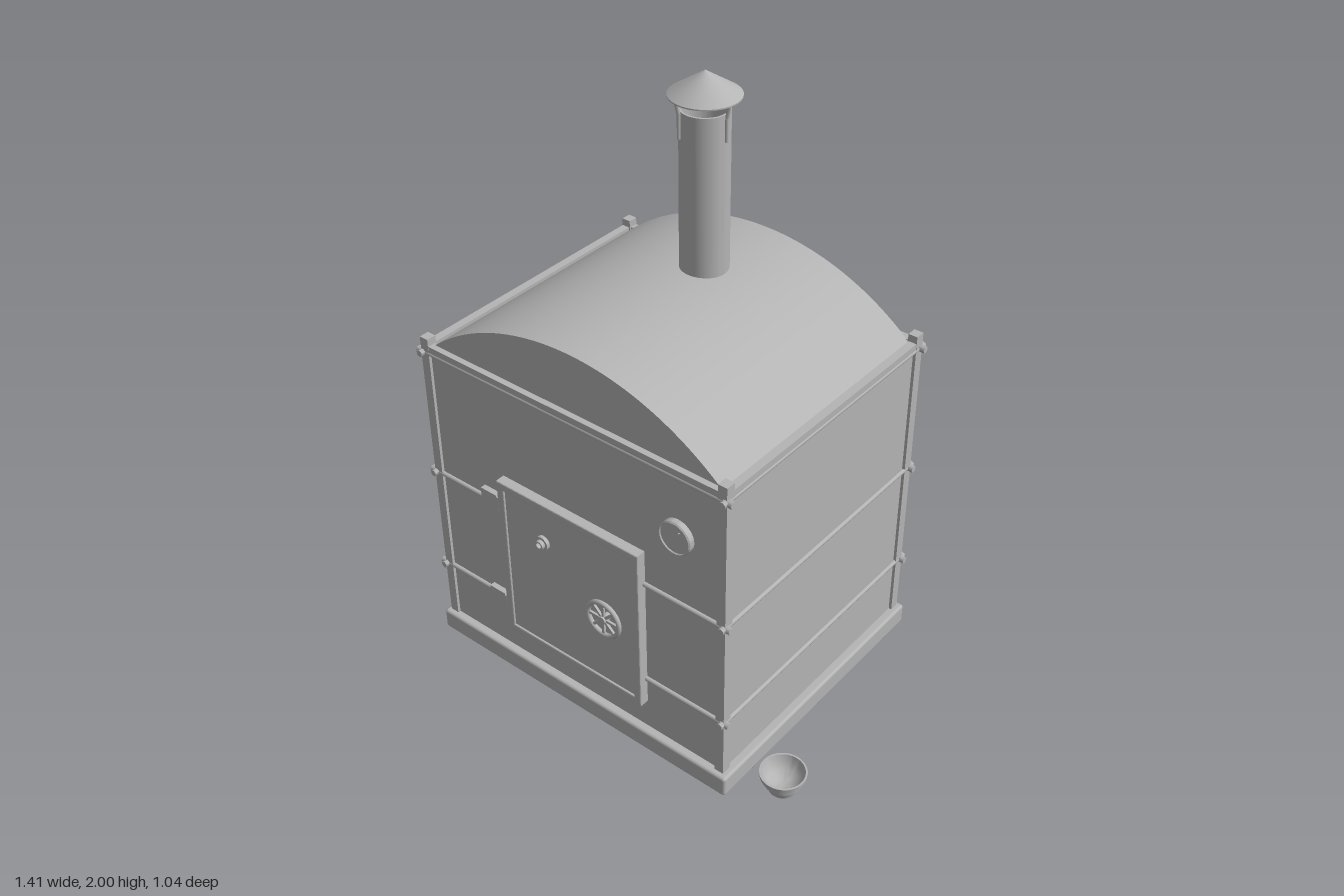
import * as THREE from 'three';
import { toCreasedNormals } from 'three/addons/utils/BufferGeometryUtils.js';
import { RoundedBoxGeometry } from 'three/addons/geometries/RoundedBoxGeometry.js';

export function createModel() {
  const model = new THREE.Group();
  model.name = 'oven';
  const steel = new THREE.MeshStandardMaterial({ color: 0xb4b4b4, side: THREE.DoubleSide });
  steel.name = 'grey steel';

  const add = (name, geometry, x = 0, y = 0, z = 0, parent = model) => {
    const mesh = new THREE.Mesh(geometry, steel);
    mesh.name = name;
    mesh.position.set(x, y, z);
    parent.add(mesh);
    return mesh;
  };
  // box given by its limits on each axis
  const box = (name, x0, x1, y0, y1, z0, z1) => add(name,
    new THREE.BoxGeometry(x1 - x0, y1 - y0, z1 - z0), (x0 + x1) / 2, (y0 + y1) / 2, (z0 + z1) / 2);
  // rod between two points
  const rod = (name, a, b, r, sides = 12) => {
    const p = new THREE.Vector3(...a), q = new THREE.Vector3(...b);
    const mesh = add(name, new THREE.CylinderGeometry(r, r, p.distanceTo(q), sides));
    mesh.position.copy(p).add(q).multiplyScalar(0.5);
    mesh.quaternion.setFromUnitVectors(new THREE.Vector3(0, 1, 0), q.sub(p).normalize());
    return mesh;
  };
  const lathe = (points, segments = 48) => toCreasedNormals(
    new THREE.LatheGeometry(points.map(p => new THREE.Vector2(...p)), segments), 0.5);

  const cx = -0.1, cz = -0.016;

  // plinth and walls
  add('base', new RoundedBoxGeometry(1.215, 0.075, 1.007, 3, 0.01), cx + 0.003, 0.0375, -0.013);
  box('walls', -0.68, 0.48, 0.07, 1.15, -0.493, 0.461);

  // corner posts
  for (const sx of [-1, 1]) for (const sz of [-1, 1]) {
    const x = cx + sx * 0.574, z = cz + sz * 0.47;
    box('cornerPost', x - 0.016, x + 0.016, 0.07, 1.19, z - 0.017, z + 0.017);
  }

  // top rails
  for (const s of [-1, 1]) {
    const x = cx + s * 0.575, z = cz + s * 0.472;
    box('sideRail', x - 0.014, x + 0.014, 1.14, 1.165, -0.485, 0.455);
    box('endRail', -0.67, 0.47, 1.14, 1.165, z - 0.014, z + 0.014);
  }

  // tie rods around the body, with a nut at each end
  for (const y of [1.137, 0.675, 0.287]) for (const s of [-1, 1]) {
    const x = cx + s * 0.584, z = cz + s * 0.481;
    rod('crossTieRod', [-0.69, y, z], [0.49, y, z], 0.008);
    rod('sideTieRod', [x, y, -0.5], [x, y, 0.47], 0.008);
    for (const e of [-1, 1]) {
      const nx = cx + e * 0.592, nz = cz + e * 0.487;
      rod('tieNut', [nx - 0.015, y, z], [nx + 0.015, y, z], 0.012, 6);
      rod('tieNut', [x, y, nz - 0.015], [x, y, nz + 0.015], 0.012, 6);
    }
  }

  // vaulted roof
  const half = 0.565, rise = 0.215, R = (half * half + rise * rise) / (2 * rise);
  const a = Math.asin(half / R);
  const vault = new THREE.Shape();
  vault.absarc(0, rise - R, R, Math.PI / 2 - a, Math.PI / 2 + a, false);
  vault.closePath();
  add('roof', toCreasedNormals(new THREE.ExtrudeGeometry(vault,
    { depth: 0.926, bevelEnabled: false, curveSegments: 48 }), 0.5), cx, 1.15, -0.476);

  // chimney pipe, open at the top
  const px = -0.098, pz = -0.17;
  add('chimney', lathe([[0.077, 1.28], [0.077, 1.885], [0.07, 1.885], [0.07, 1.28]]), px, 0, pz);
  // rain cap on three stays
  add('chimneyCap', lathe([[0, 1.924], [0.11, 1.924], [0.11, 1.928], [0, 2]]), px, 0, pz);
  for (let i = 0; i < 3; i++) {
    const t = i * Math.PI * 2 / 3, c = Math.cos(t), s = Math.sin(t);
    rod('capStay', [px + 0.08 * c, 1.8, pz + 0.08 * s], [px + 0.08 * c, 1.88, pz + 0.08 * s], 0.006, 8);
    rod('capStay', [px + 0.08 * c, 1.875, pz + 0.08 * s], [px + 0.092 * c, 1.932, pz + 0.092 * s], 0.006, 8);
  }

  // door with raised frame
  const rect = (path, x0, x1, y0, y1) => {
    path.moveTo(x0, y0); path.lineTo(x1, y0); path.lineTo(x1, y1); path.lineTo(x0, y1); path.closePath();
    return path;
  };
  const frame = rect(new THREE.Shape(), -0.38, 0.18, 0.19, 0.795);
  frame.holes.push(rect(new THREE.Path(), -0.36, 0.16, 0.21, 0.775));
  add('doorFrame', new THREE.ExtrudeGeometry(frame,
    { depth: 0.03, bevelEnabled: true, bevelSize: 0.004, bevelThickness: 0.004, bevelSegments: 2 }), 0, 0, 0.461);
  box('doorPanel', -0.36, 0.16, 0.21, 0.775, 0.46, 0.488);

  // hinges
  for (const y of [0.698, 0.289]) {
    box('hingeStrap', -0.472, -0.37, y - 0.022, y + 0.022, 0.46, 0.48);
    rod('hingePin', [-0.392, y - 0.026, 0.478], [-0.392, y + 0.026, 0.478], 0.011);
  }

  // peephole
  const peep = add('peephole', lathe([[0.012, 0], [0.025, 0], [0.025, 0.014], [0.016, 0.014],
    [0.016, 0.026], [0.01, 0.026], [0.01, 0.014], [0, 0.014]], 24), -0.2, 0.647, 0.486);
  peep.rotation.x = Math.PI / 2;

  // spoked draught wheel
  const wheel = new THREE.Group();
  wheel.name = 'draughtWheel';
  wheel.position.set(0.056, 0.492, 0.51);
  model.add(wheel);
  add('wheelRim', new THREE.TorusGeometry(0.062, 0.008, 12, 48), 0, 0, 0, wheel);
  add('wheelHub', new THREE.CylinderGeometry(0.013, 0.013, 0.036, 20), 0, 0, -0.008, wheel).rotation.x = Math.PI / 2;
  for (let i = 0; i < 4; i++)
    add('wheelSpokes', new THREE.BoxGeometry(0.122, 0.009, 0.008), 0, 0, 0, wheel).rotation.z = i * Math.PI / 4;

  // thermometer dial with pointer
  const dial = add('thermometer', lathe([[0.05, 0], [0.057, 0.004], [0.057, 0.022], [0.053, 0.026],
    [0.051, 0.022], [0, 0.022]]), 0.315, 0.932, 0.46);
  dial.rotation.x = Math.PI / 2;
  const pointer = add('pointer', new THREE.BoxGeometry(0.004, 0.034, 0.004), 0.324, 0.946, 0.484);
  pointer.rotation.z = -0.55;

  // stepped bowl on the ground
  add('bowl', lathe([[0, 0], [0.045, 0], [0.054, 0.03], [0.061, 0.031], [0.062, 0.042], [0.067, 0.043],
    [0.068, 0.055], [0.073, 0.056], [0.075, 0.072], [0.069, 0.072], [0.062, 0.048], [0.048, 0.028],
    [0.026, 0.015], [0, 0.011]]), 0.627, 0, 0.345);

  return model;
}
